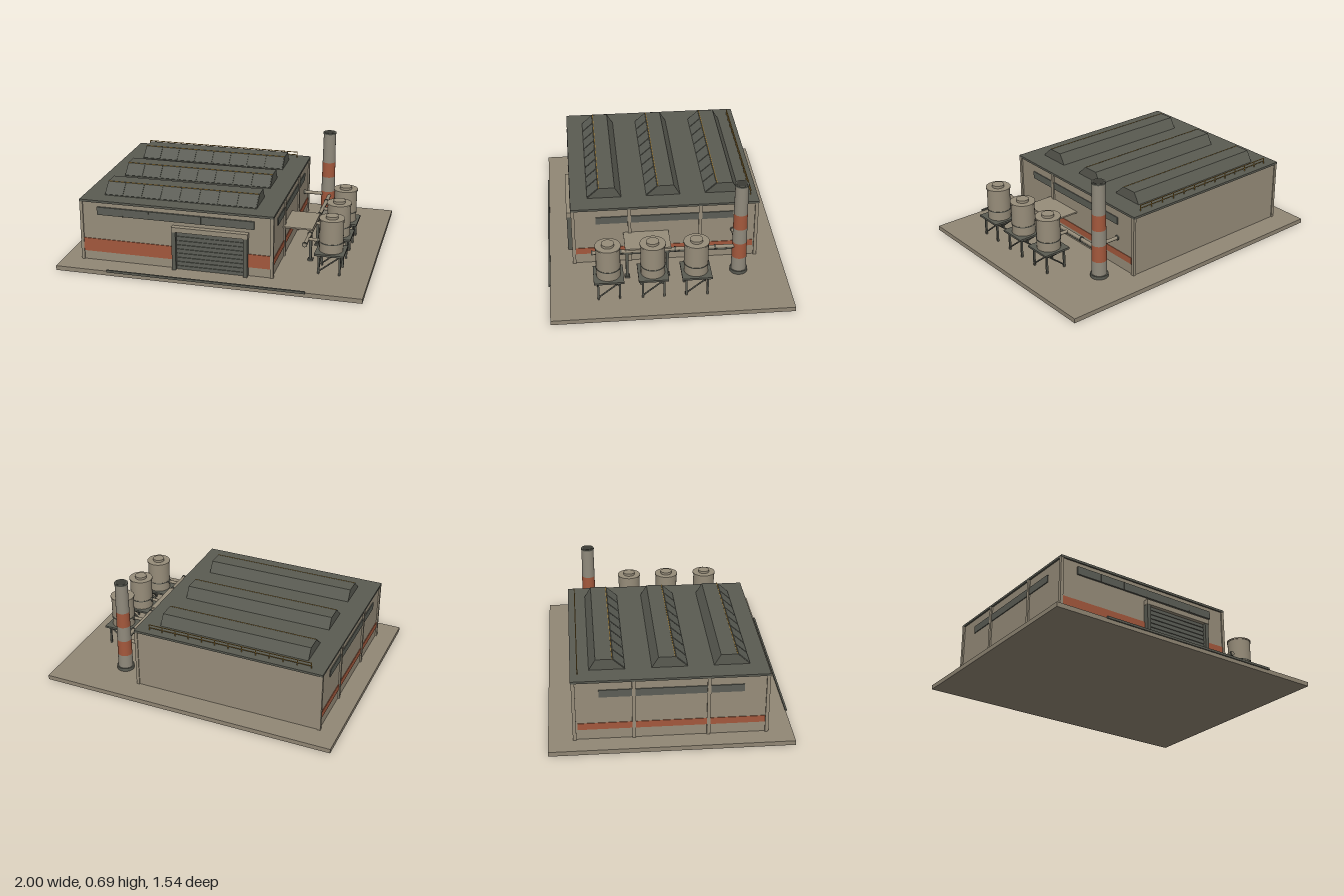
import * as THREE from 'three';

const mat = (name, color) => {
  const m = new THREE.MeshStandardMaterial({ color });
  m.name = name;
  return m;
};

export function createModel() {
  const root = new THREE.Group();
  root.name = 'factory';
  const wall = mat('wall tan', 0x978d7a);
  const ground = mat('ground tan', 0x918775);
  const dark = mat('dark metal', 0x5a5b52);
  const glass = mat('window grey', 0x5c5e56);
  const rust = mat('rust red', 0xa3583c);
  const concrete = mat('chimney grey', 0x908a7c);
  const yellow = mat('rail yellow', 0xa8843c);
  const soot = mat('soot', 0x3c3c36);

  const add = (name, geo, material, parent = root) => {
    const m = new THREE.Mesh(geo, material);
    m.name = name;
    parent.add(m);
    return m;
  };
  // Box given by its limits on each axis
  const box = (name, material, x0, x1, y0, y1, z0, z1, parent) => {
    const m = add(name, new THREE.BoxGeometry(x1 - x0, y1 - y0, z1 - z0), material, parent);
    m.position.set((x0 + x1) / 2, (y0 + y1) / 2, (z0 + z1) / 2);
    return m;
  };
  // Upright cylinder given by its bottom and top
  const drum = (name, material, x, z, y0, y1, r0, r1 = r0, parent = root) => {
    const m = add(name, new THREE.CylinderGeometry(r1, r0, y1 - y0, 28), material, parent);
    m.position.set(x, (y0 + y1) / 2, z);
    return m;
  };
  // Round bar between two points
  const bar = (name, material, a, b, r, parent = root) => {
    const p = new THREE.Vector3(...a), q = new THREE.Vector3(...b);
    const d = q.clone().sub(p);
    const m = add(name, new THREE.CylinderGeometry(r, r, d.length(), 12), material, parent);
    m.position.copy(p).add(q).multiplyScalar(0.5);
    m.quaternion.setFromUnitVectors(new THREE.Vector3(0, 1, 0), d.normalize());
    return m;
  };

  // Ground slab and front kerb
  box('groundSlab', ground, -1, 1, 0, 0.03, -0.77, 0.762);
  box('frontKerb', dark, -0.65, 0.645, 0.025, 0.04, 0.758, 0.77);

  // Hall body and roof
  box('hallWalls', wall, -0.87, 0.4, 0.03, 0.436, -0.61, 0.6);
  box('roofSlab', dark, -0.88, 0.41, 0.434, 0.449, -0.62, 0.61);

  // Pilasters on both long sides
  for (const z of [-0.605, -0.235, 0.23, 0.597])
    for (const x of [-0.87, 0.4])
      box('pilaster', wall, x - 0.01, x + 0.01, 0.03, 0.436, z - 0.011, z + 0.011);

  // Painted bands and window strips
  box('frontBand', rust, -0.865, 0.395, 0.09, 0.18, 0.6, 0.605);
  box('frontWindow', glass, -0.76, 0.285, 0.352, 0.405, 0.598, 0.612);
  for (let i = 1; i < 6; i++) {
    const x = -0.76 + i * 1.045 / 6;
    box('windowBar', dark, x - 0.003, x + 0.003, 0.352, 0.405, 0.61, 0.614);
  }
  for (const x of [-0.87, 0.4]) {
    box('sideBand', rust, x - 0.004, x + 0.004, 0.1, 0.145, -0.585, 0.585);
    box('sideWindow', glass, x - 0.006, x + 0.006, 0.33, 0.38, -0.45, 0.45);
  }

  // Roller door with jambs and lintel
  const door = new THREE.Group();
  door.name = 'rollerDoor';
  root.add(door);
  box('doorPanel', glass, -0.225, 0.222, 0.03, 0.295, 0.6, 0.612, door);
  for (let i = 0; i < 9; i++)
    box('doorSlat', glass, -0.222, 0.219, 0.036 + i * 0.029, 0.056 + i * 0.029, 0.61, 0.618, door);
  for (const x of [-0.237, 0.234])
    box('doorJamb', dark, x - 0.013, x + 0.013, 0.03, 0.295, 0.598, 0.636, door);
  box('doorLintel', wall, -0.252, 0.25, 0.293, 0.326, 0.598, 0.638, door);

  // Roof lights: one cross-section extruded along x, with eight panes each
  const section = new THREE.Shape([[-0.115, 0], [0.112, 0], [0.032, 0.073], [-0.072, 0.073]]
    .map(([z, y]) => new THREE.Vector2(z, y)));
  for (const z of [-0.39, 0, 0.388]) {
    const light = new THREE.Group();
    light.name = 'roofLight';
    light.position.set(0, 0.447, z);
    root.add(light);
    const geo = new THREE.ExtrudeGeometry(section, { depth: 1.02, bevelEnabled: false });
    geo.rotateY(-Math.PI / 2).translate(0.275, 0, 0);
    add('roofLightBody', geo, dark, light);
    for (let i = 0; i < 8; i++) {
      const pane = add('roofLightPane', new THREE.BoxGeometry(0.118, 0.096, 0.006), glass, light);
      pane.position.set(-0.745 + (i + 0.5) * 1.02 / 8, 0.038, 0.072);
      pane.rotation.x = -Math.atan2(0.08, 0.073);
    }
    box('roofLightTrim', yellow, -0.745, 0.275, 0.071, 0.0745, 0.029, 0.034, light);
  }

  // Safety rail along the back of the roof
  for (let i = 0; i < 13; i++) {
    const x = -0.79 + i * 1.11 / 12;
    bar('railPost', yellow, [x, 0.447, -0.575], [x, 0.488, -0.575], 0.003);
  }
  for (const y of [0.468, 0.488])
    bar('railBar', yellow, [-0.79, y, -0.575], [0.32, y, -0.575], 0.003);

  // Chimney: stacked tapering segments
  const cx = 0.57, cz = -0.47;
  const radius = y => 0.05 - 0.008 * (y - 0.03) / 0.66;
  const cuts = [0.03, 0.148, 0.26, 0.367, 0.474, 0.683];
  for (let i = 0; i < 5; i++)
    drum('chimneySegment', i % 2 ? rust : concrete, cx, cz, cuts[i], cuts[i + 1],
      radius(cuts[i]), radius(cuts[i + 1]));
  drum('chimneyFoot', dark, cx, cz, 0.03, 0.052, 0.058);
  drum('chimneyRim', dark, cx, cz, 0.68, 0.69, 0.045);
  drum('chimneyMouth', soot, cx, cz, 0.685, 0.6915, 0.036);

  // Tanks on braced stands
  const tankZ = [-0.168, 0.107, 0.388];
  for (const z of tankZ) {
    const tank = new THREE.Group();
    tank.name = 'tank';
    tank.position.set(0.74, 0, z);
    root.add(tank);
    drum('tankBody', wall, 0, 0, 0.172, 0.387, 0.077, 0.077, tank);
    drum('tankRim', wall, 0, 0, 0.384, 0.393, 0.082, 0.082, tank);
    drum('tankHoop', dark, 0, 0, 0.232, 0.238, 0.0795, 0.0795, tank);
    drum('tankHatch', wall, 0, 0, 0.392, 0.41, 0.04, 0.04, tank);
    box('tankDeck', dark, -0.095, 0.095, 0.16, 0.173, -0.095, 0.095, tank);
    const s = 0.068;
    for (const a of [-s, s]) {
      for (const b of [-s, s])
        box('tankLeg', dark, a - 0.006, a + 0.006, 0.03, 0.161, b - 0.006, b + 0.006, tank);
      bar('tankBrace', dark, [-s, 0.045, a], [s, 0.155, a], 0.005, tank);
      bar('tankBrace', dark, [a, 0.045, s], [a, 0.155, -s], 0.005, tank);
    }
    // Stub to the main pipe
    bar('tankPipe', wall, [-0.155, 0.232, 0], [-0.07, 0.232, 0], 0.011, tank);
    bar('pipeFlange', dark, [-0.09, 0.232, 0], [-0.082, 0.232, 0], 0.016, tank);
  }

  // Main pipe, and the branch from the hall
  bar('mainPipe', wall, [0.585, 0.232, -0.45], [0.585, 0.232, 0.49], 0.012);
  bar('hallPipe', wall, [0.4, 0.237, -0.45], [0.585, 0.237, -0.45], 0.012);
  for (const z of [-0.31, -0.05, 0.3, 0.484])
    bar('pipeFlange', dark, [0.585, 0.232, z - 0.004], [0.585, 0.232, z + 0.004], 0.017);
  bar('pipeFlange', dark, [0.412, 0.237, -0.45], [0.404, 0.237, -0.45], 0.017);

  // Side canopy on posts
  box('canopy', wall, 0.4, 0.595, 0.243, 0.253, -0.025, 0.272);
  for (const z of [0, 0.26]) {
    box('canopyPost', dark, 0.575, 0.593, 0.03, 0.244, z - 0.009, z + 0.009);
    box('postFoot', dark, 0.567, 0.601, 0.03, 0.042, z - 0.017, z + 0.017);
  }
  box('canopyBeam', dark, 0.578, 0.591, 0.21, 0.222, -0.42, 0.45);
  return root;
}
